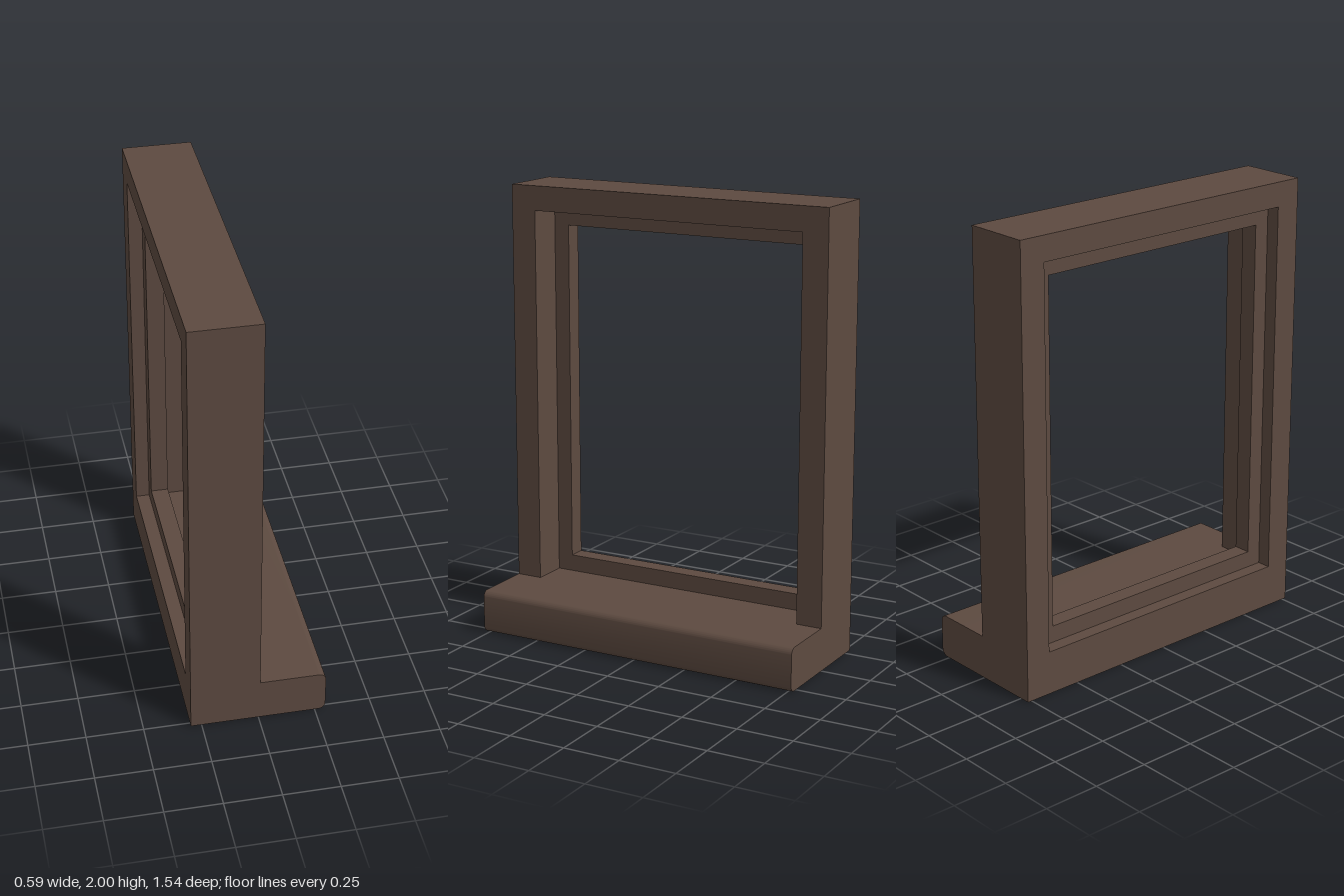
import * as THREE from 'three';
import { toCreasedNormals } from 'three/addons/utils/BufferGeometryUtils.js';

const BACK = -0.297, FACE = 0.008, FRONT = 0.297, HALF = 0.77;

// Rectangular ring in the z/y plane, extruded along x from x0 to x1
function ring(name, outer, inner, x0, x1, material) {
  const [oz, oy0, oy1] = outer, [iz, iy0, iy1] = inner;
  const corners = (z, y0, y1) => [[-z, y0], [z, y0], [z, y1], [-z, y1]].map(p => new THREE.Vector2(...p));
  const shape = new THREE.Shape(corners(oz, oy0, oy1));
  shape.holes.push(new THREE.Path(corners(iz, iy0, iy1).reverse()));
  const geometry = new THREE.ExtrudeGeometry(shape, { depth: x1 - x0, bevelEnabled: false });
  geometry.rotateY(Math.PI / 2).translate(x0, 0, 0);
  const mesh = new THREE.Mesh(geometry, material);
  mesh.name = name;
  return mesh;
}

// Sill profile in x/y with rounded front edges, extruded along z
function sill(material) {
  const r = 0.03, top = 0.195;
  const shape = new THREE.Shape();
  shape.moveTo(FACE, 0);
  shape.lineTo(FRONT - r, 0);
  shape.absarc(FRONT - r, r, r, -Math.PI / 2, 0, false);
  shape.absarc(FRONT - r, top - r, r, 0, Math.PI / 2, false);
  shape.lineTo(FACE, top);
  shape.closePath();
  const geometry = new THREE.ExtrudeGeometry(shape, { depth: 2 * HALF, bevelEnabled: false, curveSegments: 6 });
  geometry.translate(0, 0, -HALF);
  const mesh = new THREE.Mesh(toCreasedNormals(geometry, 0.6), material);
  mesh.name = 'sill';
  return mesh;
}

export function createModel() {
  const wood = new THREE.MeshStandardMaterial({ color: 0x5d4a40 });
  wood.name = 'dark brown wood';

  const group = new THREE.Group();
  group.name = 'windowFrame';
  const opening = [0.652, 0.195, 1.89];
  group.add(
    ring('outerFrame', [HALF, 0, 2], opening, BACK, FACE, wood),
    // Narrow stop set inside the reveal
    ring('innerStop', opening, [0.58, 0.27, 1.81], -0.235, -0.155, wood),
    sill(wood),
  );
  return group;
}
